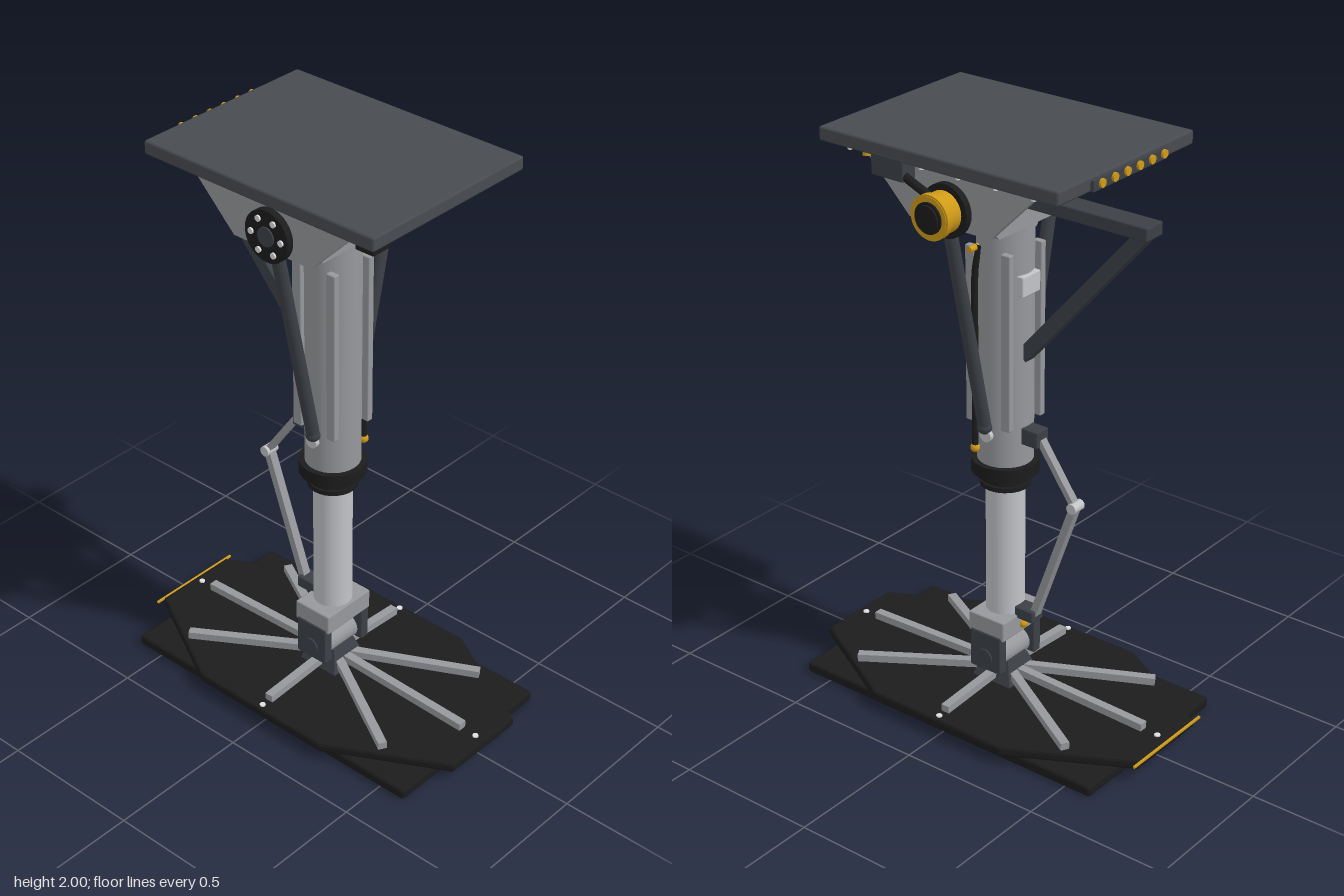
import * as THREE from 'three';
import { RoundedBoxGeometry } from 'three/addons/geometries/RoundedBoxGeometry.js';

const mat = (name, color) => Object.assign(new THREE.MeshStandardMaterial({ color }), { name });

export function createModel() {
  const black = mat('black rubber', 0x1c1c1d);
  const charcoal = mat('charcoal plate', 0x484b50);
  const slate = mat('slate steel', 0x3c4046);
  const grey = mat('grey casting', 0x96989c);
  const silver = mat('silver tube', 0xc2c3c7);
  const yellow = mat('yellow accent', 0xcf9a18);
  const bright = mat('bright bolt', 0xdfe0e3);

  const model = new THREE.Group();
  model.name = 'pedestal';
  const CX = -0.005; // column axis

  const add = (name, geo, material, x = 0, y = 0, z = 0) => {
    const m = new THREE.Mesh(geo, material);
    m.name = name;
    m.position.set(x, y, z);
    model.add(m);
    return m;
  };
  // box given by its min and max on each axis, with a small edge radius
  const box = (name, material, [x0, x1], [y0, y1], [z0, z1], r = 0.005) =>
    add(name, new RoundedBoxGeometry(x1 - x0, y1 - y0, z1 - z0, 1, r), material,
      (x0 + x1) / 2, (y0 + y1) / 2, (z0 + z1) / 2);
  const cylY = (name, material, r, y0, y1, x = CX, z = 0, rTop = r) =>
    add(name, new THREE.CylinderGeometry(rTop, r, y1 - y0, 32), material, x, (y0 + y1) / 2, z);
  const cylX = (name, material, r, x0, x1, y, z = 0) => {
    const m = add(name, new THREE.CylinderGeometry(r, r, x1 - x0, 32), material, (x0 + x1) / 2, y, z);
    m.rotation.z = -Math.PI / 2;
    return m;
  };
  // round or rectangular bar between two points
  const bar = (name, material, a, b, w, d = 0) => {
    const p = new THREE.Vector3(...a), q = new THREE.Vector3(...b);
    const L = p.distanceTo(q);
    const geo = d ? new THREE.BoxGeometry(w, d, L) : new THREE.CylinderGeometry(w, w, L, 16).rotateX(Math.PI / 2);
    const m = add(name, geo, material);
    m.position.copy(p).add(q).multiplyScalar(0.5);
    m.lookAt(q);
    return m;
  };
  const ball = (name, material, r, x, y, z) => add(name, new THREE.SphereGeometry(r, 16, 12), material, x, y, z);

  // Base: rectangular sole under an eight-sided foot plate
  box('basePad', black, [-0.34, 0.33], [0, 0.038], [-0.6, 0.6], 0.01);
  const foot = [[0.15, 0.65], [0.36, 0.265], [0.36, -0.265], [0.15, -0.65],
    [-0.15, -0.65], [-0.36, -0.265], [-0.36, 0.265], [-0.15, 0.65]];
  const footGeo = new THREE.ExtrudeGeometry(new THREE.Shape(foot.map(p => new THREE.Vector2(...p))),
    { depth: 0.016, bevelEnabled: true, bevelSize: 0.01, bevelThickness: 0.01, bevelSegments: 2 });
  add('basePlate', footGeo.rotateX(-Math.PI / 2), black, CX, 0.044, 0);
  box('baseRearStripe', yellow, [-0.19, 0.18], [0.058, 0.066], [-0.668, -0.66], 0.001);
  for (const [x, z] of [[0, 0.625], [0, -0.625], [0.35, 0], [-0.35, 0]])
    cylY('baseBolt', bright, 0.01, 0.068, 0.075, x + CX, z);

  // Radiating ribs on the base
  for (const [x, z] of [[0, 0.57], [0.25, 0.44], [0.32, 0], [0.25, -0.44],
    [0, -0.57], [-0.25, -0.44], [-0.32, 0], [-0.25, 0.44]]) {
    const n = Math.hypot(x, z);
    bar('baseRib', grey, [CX + x / n * 0.06, 0.099, z / n * 0.06], [CX + x, 0.083, z], 0.03, 0.026);
  }

  // Ankle: tapered hub, cross pin, fork and block
  const hub = add('ankleHub', new THREE.CylinderGeometry(0.07, 0.11, 0.08, 4, 1).rotateY(Math.PI / 4).toNonIndexed(),
    slate, CX, 0.11, 0);
  hub.geometry.computeVertexNormals();
  cylX('anklePin', grey, 0.045, CX - 0.08, CX + 0.08, 0.165);
  for (const s of [-1, 1]) {
    box('ankleFork', slate, [CX + s * 0.092 - 0.018, CX + s * 0.092 + 0.018], [0.13, 0.27], [-0.063, 0.063]);
    cylX('anklePinCap', slate, 0.03, CX + s * 0.105 - 0.01, CX + s * 0.105 + 0.01, 0.18);
  }
  box('ankleBlock', grey, [CX - 0.105, CX + 0.105], [0.258, 0.33], [-0.073, 0.073]);

  // Telescoping column
  cylY('innerTube', silver, 0.065, 0.32, 0.88);
  [0.803, 0.826].forEach(y => cylY('sealRing', black, 0.084, y - 0.008, y + 0.008));
  cylY('sealSleeve', black, 0.073, 0.8, 0.85);
  cylY('lowerCollar', black, 0.112, 0.846, 0.89);
  cylY('outerTube', grey, 0.092, 0.885, 1.71);
  cylY('outerTubeLip', grey, 0.1, 1.695, 1.71);
  cylY('columnNeck', grey, 0.07, 1.7, 1.78);
  for (const sx of [-1, 1]) for (const sz of [-1, 1])
    box('columnRail', grey, [CX + sx * 0.08 - 0.012, CX + sx * 0.08 + 0.012], [1.03, 1.63],
      [sz * 0.07 - 0.018, sz * 0.07 + 0.018], 0.004);
  box('rearBox', silver, [CX - 0.045, CX + 0.045], [1.48, 1.55], [-0.104, -0.07]);

  // Saddle with chamfered lower corners, and the tilt axle
  const saddle = new THREE.Shape([[-0.18, 1.84], [-0.18, 1.735], [-0.155, 1.71], [0.155, 1.71], [0.18, 1.735], [0.18, 1.84]]
    .map(p => new THREE.Vector2(...p)));
  add('saddle', new THREE.ExtrudeGeometry(saddle, { depth: 0.2, bevelEnabled: false }), grey, CX, 0, -0.1);
  cylX('tiltAxle', silver, 0.05, -0.25, 0.25, 1.82);

  // Gussets, hubs and side struts, mirrored
  const gusset = new THREE.Shape([[-0.35, 1.955], [-0.155, 1.76], [0.155, 1.76], [0.35, 1.955]]
    .map(p => new THREE.Vector2(...p)));
  for (const s of [-1, 1]) {
    const g = new THREE.ExtrudeGeometry(gusset, { depth: 0.026, bevelEnabled: false }).rotateY(Math.PI / 2);
    add('gusset', g, grey, CX + s * 0.257 - 0.013, 0, 0);
    cylX('pivotDisc', black, 0.086, CX + s * 0.28 - 0.014, CX + s * 0.28 + 0.014, 1.82);
    bar('sideStrut', slate, [CX + s * 0.268, 1.8, 0.01], [CX + s * 0.1, 1.03, 0.005], 0.022);
    ball('strutEnd', slate, 0.025, CX + s * 0.1, 1.03, 0.005);
    cylX('strutPin', silver, 0.022, CX + s * 0.092 - 0.013, CX + s * 0.092 + 0.013, 1.0);
  }
  for (let i = 0; i < 6; i++) {
    const a = i * Math.PI / 3;
    cylX('discBolt', bright, 0.01, -0.305, -0.29, 1.82 + 0.06 * Math.sin(a), 0.06 * Math.cos(a));
  }
  cylX('discCentre', slate, 0.032, -0.304, -0.29, 1.82);

  // Tilt knob
  cylX('knobBody', yellow, 0.066, 0.28, 0.36, 1.82);
  cylX('knobRim', yellow, 0.072, 0.335, 0.358, 1.82);
  cylX('knobFace', black, 0.05, 0.35, 0.366, 1.82);
  cylX('knobCap', black, 0.042, 0.36, 0.374, 1.82);
  bar('lever', black, [0.318, 1.91, 0.13], [0.318, 1.865, 0.02], 0.014);
  box('leverBox', slate, [0.275, 0.335], [1.893, 1.965], [0.12, 0.245]);

  // Top plate with underside panel and fixings
  box('topPlate', charcoal, [-0.345, 0.333], [1.953, 2.0], [-0.455, 0.455], 0.008);
  box('undersidePanel', black, [-0.29, 0.28], [1.949, 1.956], [-0.4, 0.4], 0.001);
  for (const s of [-1, 1]) {
    for (let i = 0; i < 5; i++) cylY('plateBolt', bright, 0.008, 1.942, 1.955, CX + (i - 2) * 0.12, s * 0.425);
    for (let i = 0; i < 6; i++) cylY('plateBolt', bright, 0.008, 1.942, 1.955, CX + s * 0.312, (i - 2.5) * 0.14);
  }
  box('sensorBox', black, [-0.27, -0.19], [1.885, 1.955], [0.32, 0.39]);
  cylY('yellowStud', yellow, 0.013, 1.93, 1.955, 0.215, 0.3);
  cylY('yellowStud', yellow, 0.013, 1.93, 1.955, 0.29, 0.3);

  // Row of hooks on the rear edge
  box('hookStrip', slate, [-0.19, 0.178], [1.955, 1.99], [-0.466, -0.45], 0.002);
  for (let i = 0; i < 6; i++) {
    const x = -0.17 + i * 0.062;
    const stud = add('hookStud', new THREE.CylinderGeometry(0.014, 0.014, 0.024, 12), yellow, x, 1.975, -0.462);
    stud.rotation.x = Math.PI / 2;
  }

  // Rear outrigger and its diagonal brace
  box('rearArm', slate, [CX - 0.042, CX + 0.042], [1.778, 1.822], [-0.557, -0.06]);
  bar('rearBrace', slate, [CX, 1.79, -0.53], [CX, 1.27, -0.08], 0.045, 0.045);

  // Folding link behind the column
  box('linkTopMount', slate, [CX - 0.03, CX + 0.03], [0.967, 1.025], [-0.15, -0.085]);
  bar('upperLink', grey, [CX, 0.99, -0.145], [CX, 0.795, -0.283], 0.028, 0.02);
  bar('lowerLink', grey, [CX, 0.795, -0.283], [CX, 0.345, -0.125], 0.03, 0.026);
  cylX('linkPin', silver, 0.018, CX - 0.025, CX + 0.025, 0.795, -0.283);
  box('linkLowerMount', slate, [CX - 0.03, CX + 0.03], [0.318, 0.36], [-0.135, -0.06]);
  ball('ankleButton', yellow, 0.016, CX, 0.288, -0.075);

  // Cable down the side, with yellow ends
  const cable = new THREE.CatmullRomCurve3([[0.078, 1.64, 0.035], [0.083, 1.55, 0.05], [0.088, 1.25, 0.048], [0.088, 0.94, 0.05]]
    .map(p => new THREE.Vector3(...p)));
  add('cable', new THREE.TubeGeometry(cable, 24, 0.011, 8), black);
  ball('cableEnd', yellow, 0.016, 0.088, 0.94, 0.05);
  cylX('cablePin', yellow, 0.01, 0.06, 0.118, 1.63, 0.045);

  return model;
}
